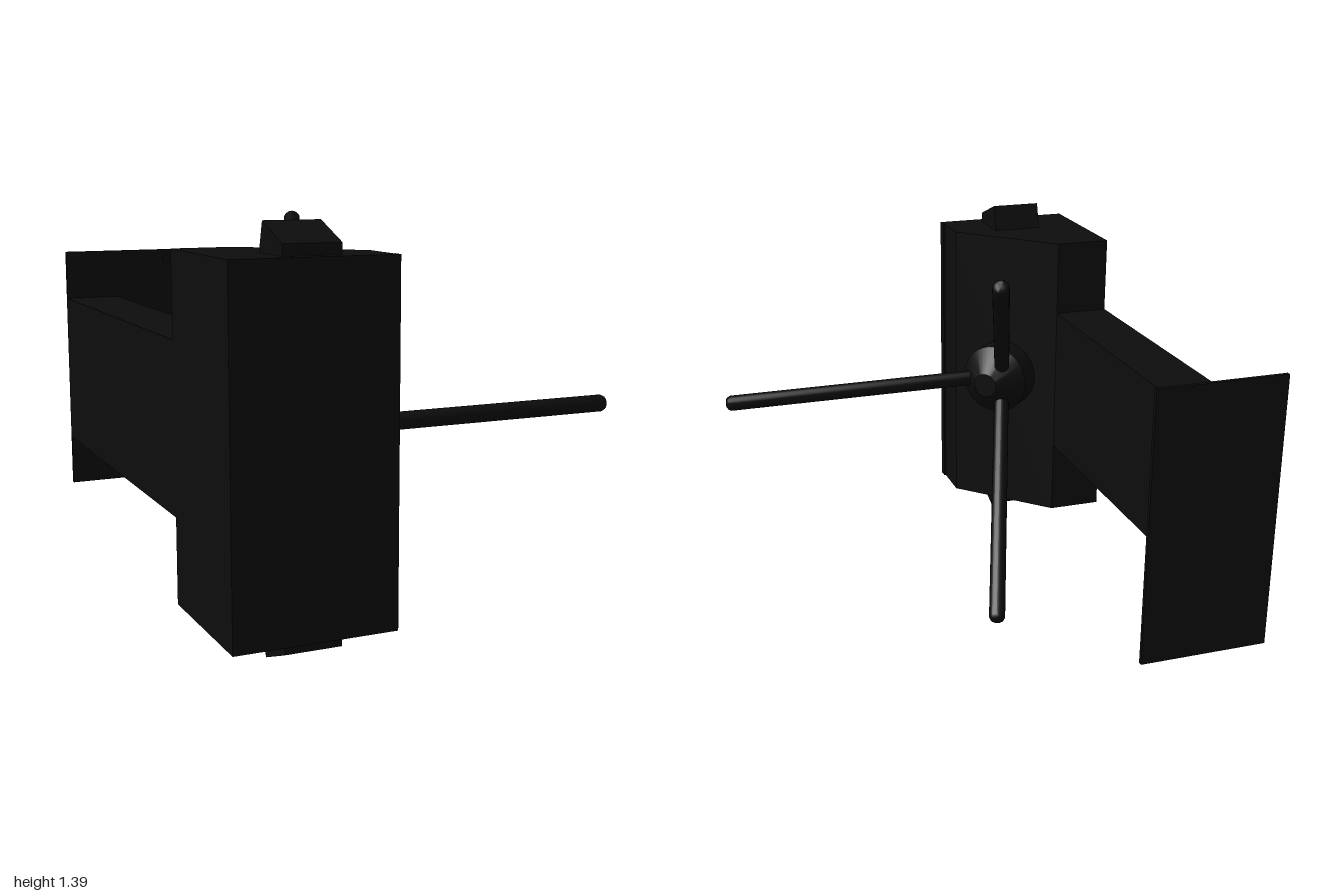
import * as THREE from 'three';
import { toCreasedNormals } from 'three/addons/utils/BufferGeometryUtils.js';

const MID_Y = 0.695;
const black = new THREE.MeshStandardMaterial({ color: 0x0d0d0d });

export function createModel() {
  const model = new THREE.Group();

  const add = (name, geometry) => {
    const mesh = new THREE.Mesh(geometry, black);
    mesh.name = name;
    model.add(mesh);
    return mesh;
  };

  // Box given by its minimum and maximum corners
  const box = (name, [x0, y0, z0], [x1, y1, z1]) =>
    add(name, new THREE.BoxGeometry(x1 - x0, y1 - y0, z1 - z0))
      .position.set((x0 + x1) / 2, (y0 + y1) / 2, (z0 + z1) / 2);

  const extrude = (points, depth) => new THREE.ExtrudeGeometry(
    new THREE.Shape(points.map(([x, y]) => new THREE.Vector2(x, y))),
    { depth, bevelEnabled: false });

  // Turned part whose axis starts at a point and runs along a direction
  const turned = (name, profile, segments, start, direction) => {
    const lathe = new THREE.LatheGeometry(profile.map(([r, y]) => new THREE.Vector2(r, y)), segments);
    const mesh = add(name, toCreasedNormals(lathe, 0.6));
    mesh.position.copy(start);
    mesh.quaternion.setFromUnitVectors(new THREE.Vector3(0, 1, 0), direction.clone().normalize());
  };

  // Upright housing with a slanted inner corner, given as x and z outline
  const outline = [[-0.8, 1], [-0.25, 1], [-0.25, 0.8], [-0.585, 0.465], [-0.8, 0.465]];
  const housing = extrude(outline.map(([x, z]) => [x, -z]), 1.19);
  housing.rotateX(-Math.PI / 2).translate(0, 0.1, 0);
  add('housing', housing);
  box('frontCover', [-0.8, 0.1, 0.96], [-0.243, 1.29, 1]);

  // Wedge lugs on the top and bottom of the housing
  const wedge = [[0.96, 0.59], [0.96, 0.633], [0.8, 0.695], [0.77, 0.59]];
  for (const side of [1, -1]) {
    const lug = extrude(wedge.map(([z, h]) => [z, MID_Y + side * h]), 0.195);
    lug.rotateY(-Math.PI / 2).translate(-0.42, 0, 0);
    add(side > 0 ? 'topLug' : 'bottomLug', lug);
  }

  // Long arm and its mounting plate at the back
  box('arm', [-0.8, 0.4, -0.99], [-0.585, 0.995, 0.47]);
  box('mountingPlate', [-0.8, 0.2, -1], [-0.33, 1.19, -0.985]);
  for (const y of [0.24, 1.15]) {
    turned('plateBolt', [[0.02, 0], [0.02, 0.01], [0, 0.01]], 12,
      new THREE.Vector3(-0.365, y, -0.985), new THREE.Vector3(0, 0, 1));
  }

  // Hub on the slanted corner
  const outward = new THREE.Vector3(1, 0, -1);
  turned('hub', [[0.145, -0.01], [0.145, 0.095], [0.05, 0.186], [0, 0.186]], 32,
    new THREE.Vector3(-0.415, MID_Y, 0.635), outward);

  // Three handle rods spreading from the hub, with chamfered tips
  const root = new THREE.Vector3(-0.4, MID_Y, 0.62);
  const tips = [[0.79, MID_Y, 0.62], [-0.063, MID_Y + 0.662, -0.297], [-0.063, MID_Y - 0.662, -0.297]];
  for (const tip of tips) {
    const along = new THREE.Vector3(...tip).sub(root);
    const length = along.length();
    turned('handleRod', [[0.031, 0], [0.031, length - 0.018], [0.025, length - 0.006], [0.016, length], [0, length]],
      20, root, along);
  }

  return model;
}
